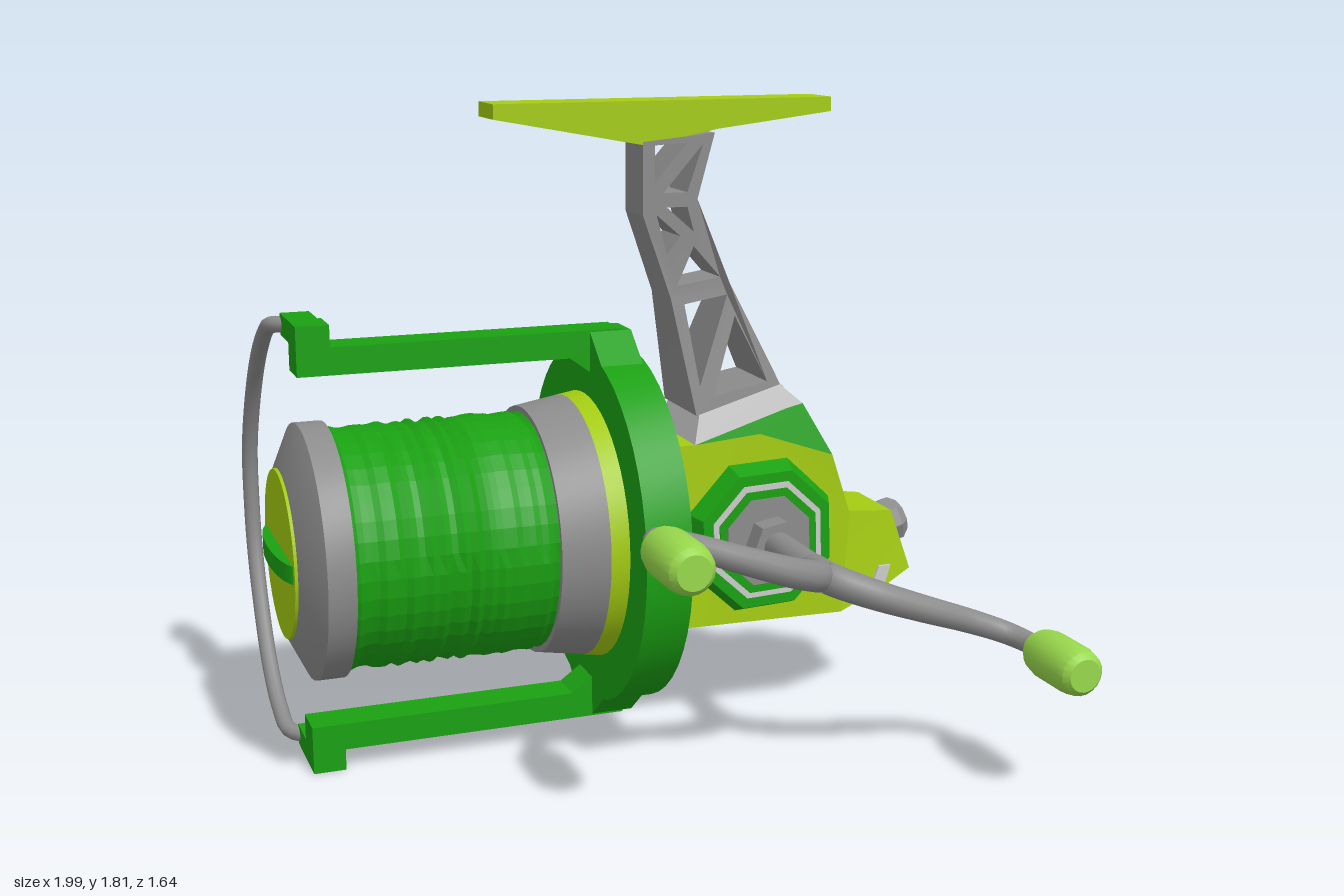
import * as THREE from 'three';
import { toCreasedNormals } from 'three/addons/utils/BufferGeometryUtils.js';

const AXIS_Y = 0.625, MID_Z = -0.175;
const mat = (color, flatShading = false) => new THREE.MeshStandardMaterial({ color, flatShading });
const GREEN = mat(0x1aa012), LIME = mat(0xa4cc12), KNOB = mat(0x98d84c), GREY = mat(0x8c8c8c), LIGHT = mat(0xcccccc);

export function createModel() {
  const model = new THREE.Group();
  const add = (name, geo, material, parent = model) => {
    const mesh = new THREE.Mesh(geo, material);
    mesh.name = name;
    parent.add(mesh);
    return mesh;
  };
  const crease = (geo, angle = 0.6) => toCreasedNormals(geo, angle);
  // Turned part along x from [x, radius] pairs
  const turned = (pts, seg = 48) => crease(
    new THREE.LatheGeometry(pts.map(([x, r]) => new THREE.Vector2(r, x)), seg).rotateZ(-Math.PI / 2));
  const vec2 = (pts) => pts.map(([x, y]) => new THREE.Vector2(x, y));
  // Side outline given thickness by a half-width rule
  const slab = (pts, halfWidth, holes = []) => {
    const shape = new THREE.Shape(vec2(pts));
    shape.holes = holes.map((h) => new THREE.Path(vec2(h)));
    const geo = new THREE.ExtrudeGeometry(shape, { depth: 2, bevelEnabled: false }).translate(0, 0, -1);
    const p = geo.attributes.position;
    for (let i = 0; i < p.count; i++) p.setZ(i, MID_Z + p.getZ(i) * halfWidth(p.getX(i), p.getY(i)));
    geo.computeVertexNormals();
    return crease(geo, 0.3);
  };
  const box = (x0, x1, y0, y1, z0, z1) => new THREE.BoxGeometry(x1 - x0, y1 - y0, z1 - z0)
    .translate((x0 + x1) / 2, (y0 + y1) / 2, (z0 + z1) / 2);

  // Rotating head: everything here is centred on the spool axis
  const head = new THREE.Group();
  head.name = 'spoolAndRotor';
  head.position.set(0, AXIS_Y, MID_Z);
  model.add(head);
  add('spoolFlange', turned([[-0.96, 0], [-0.96, 0.235], [-0.905, 0.35], [-0.83, 0.35], [-0.83, 0]]), GREY, head);
  add('dragKnob', turned([[-0.968, 0], [-0.968, 0.23], [-0.95, 0.235]]), LIME, head);
  add('dragKnobRidge', new THREE.CylinderGeometry(0.215, 0.215, 0.05, 32).scale(0.2, 1, 1).translate(-0.957, 0, 0), GREEN, head);
  add('spoolSkirt', turned([[-0.28, 0], [-0.28, 0.348], [-0.15, 0.37], [-0.15, 0]]), GREY, head);
  add('spoolBand', turned([[-0.15, 0], [-0.15, 0.37], [-0.09, 0.38]]), LIME, head);

  // Wound line: uneven coils, with steps where strands end
  const line = new THREE.CylinderGeometry(0.33, 0.33, 0.56, 40, 32, true);
  const lp = line.attributes.position;
  const hash = (a, b) => { const s = Math.sin(a * 127.1 + b * 311.7) * 43758.5453; return s - Math.floor(s); };
  for (let i = 0; i < lp.count; i++) {
    const row = Math.floor(i / 41), col = (i % 41) % 40;
    const k = 0.978 + 0.035 * hash(row, 1) + 0.018 * hash(row, 2 + Math.floor(col / 8));
    lp.setXYZ(i, lp.getX(i) * k, lp.getY(i), lp.getZ(i) * k);
  }
  add('woundLine', line.rotateZ(-Math.PI / 2).translate(-0.555, 0, 0), mat(0x1aa012, true), head);

  // Rotor cup with a recessed back
  add('rotor', turned([[-0.1, 0], [-0.1, 0.505], [0.03, 0.505], [0.03, 0.455], [-0.025, 0.455], [-0.025, 0]]), GREEN, head);
  add('rotorBackRing', turned([[-0.02, 0.455], [-0.02, 0.375], [-0.03, 0.375]]), LIME, head);

  // Mirrored rotor arms
  for (const s of [1, -1]) {
    const arm = new THREE.Group();
    arm.name = s > 0 ? 'upperArm' : 'lowerArm';
    arm.scale.y = s;
    head.add(arm);
    const bar = new THREE.Shape(vec2([[-0.85, 0.49], [-0.16, 0.49], [-0.09, 0.44], [0.03, 0.44], [0.03, 0.52], [-0.01, 0.565], [-0.85, 0.565]]));
    add('armBar', new THREE.ExtrudeGeometry(bar, { depth: 0.11, bevelEnabled: false }).translate(0, 0, -0.055), GREEN, arm);
    const web = new THREE.Shape(vec2([[-0.2, 0.44], [0.2, 0.44], [0.055, 0.56], [-0.055, 0.56]]));
    add('armWeb', new THREE.ExtrudeGeometry(web, { depth: 0.12, bevelEnabled: false })
      .rotateY(Math.PI / 2).translate(-0.1, 0, 0), GREEN, arm);
    add('armTip', box(-0.91, -0.82, 0.49, 0.625, -0.055, 0.055), GREEN, arm);
    add('bailMount', box(-0.91, -0.83, 0.565, 0.625, -0.175, -0.05), GREEN, arm);
  }

  // Bail wire
  const bail = new THREE.CatmullRomCurve3([
    [-0.88, 0.595, -0.15], [-0.925, 0.59, -0.2], [-0.93, 0.56, -0.29], [-0.935, 0.47, -0.41], [-0.94, 0.32, -0.53],
    [-0.945, 0.15, -0.605], [-0.945, 0, -0.622], [-0.945, -0.15, -0.605], [-0.945, -0.32, -0.53],
    [-0.945, -0.47, -0.41], [-0.94, -0.56, -0.29], [-0.93, -0.59, -0.2], [-0.88, -0.595, -0.15],
  ].map((p) => new THREE.Vector3(...p)));
  add('bailWire', new THREE.TubeGeometry(bail, 64, 0.023, 10), GREY, head);

  // Gear housing
  const bodyWidth = (x, y) => 0.155 - Math.max(0, y - 0.8) * 0.25 - Math.max(0, x - 0.66) * 0.15;
  add('housing', slab([[-0.03, 0.33], [0.64, 0.32], [0.66, 0.62], [0.6, 0.8], [0.38, 0.875], [0.18, 0.86], [-0.03, 0.86]], bodyWidth), LIME);
  add('housingShoulder', slab([[0.18, 0.86], [0.38, 0.875], [0.6, 0.8], [0.52, 0.95], [0.47, 0.94]], bodyWidth), GREEN);
  add('housingTop', slab([[0.18, 0.86], [0.47, 0.94], [0.52, 0.95], [0.45, 1.01], [0.2, 0.94]], bodyWidth), LIGHT);
  add('housingSpine', slab([[0.44, 1.0], [0.49, 0.99], [0.62, 0.82], [0.685, 0.62], [0.64, 0.62], [0.57, 0.8]], () => 0.04), LIGHT);
  const tailWidth = (x, y) => 0.155 - Math.max(0, x - 0.66) * 0.15 - Math.max(0, y - 0.45) * 0.15;
  const tail = [[0.64, 0.32], [0.8, 0.38], [0.88, 0.42], [0.82, 0.6], [0.65, 0.62]];
  add('housingTail', slab(tail, tailWidth), LIME);
  add('tailTrim', slab([[0.73, 0.355], [0.79, 0.378], [0.81, 0.44], [0.77, 0.44]], (x, y) => tailWidth(x, y) + 0.003), LIGHT);

  // Screw cap on the tail, tilted with its face
  const cap = new THREE.Group();
  cap.name = 'tailCap';
  cap.position.set(0.85, 0.53, MID_Z);
  cap.rotation.z = 0.3;
  model.add(cap);
  add('capNut', turned([[-0.02, 0], [-0.02, 0.07], [0.035, 0.07], [0.06, 0.05], [0.06, 0]], 8), GREY, cap);
  add('capCentre', turned([[0.05, 0.025], [0.066, 0.025], [0.066, 0]], 12), GREEN, cap);

  // Lattice stem and mounting foot
  add('stem', slab(
    [[0.19, 0.94], [0.45, 1.01], [0.31, 1.3], [0.21, 1.54], [0.26, 1.72], [0.05, 1.7], [0.05, 1.5], [0.13, 1.27]],
    (x, y) => 0.07 + Math.max(0, 1.3 - y) * 0.15,
    [
      [[0.085, 1.69], [0.18, 1.695], [0.085, 1.59]],
      [[0.225, 1.69], [0.18, 1.56], [0.11, 1.56]],
      [[0.09, 1.5], [0.16, 1.44], [0.12, 1.39]],
      [[0.12, 1.52], [0.18, 1.52], [0.2, 1.45]],
      [[0.15, 1.3], [0.28, 1.32], [0.2, 1.41]],
      [[0.17, 1.25], [0.3, 1.27], [0.205, 1.02]],
      [[0.32, 1.21], [0.41, 1.02], [0.245, 0.99]],
    ]), GREY);
  add('mountingFoot', slab([[-0.37, 1.77], [0.06, 1.69], [0.27, 1.73], [0.61, 1.77], [0.61, 1.81], [-0.37, 1.81]], () => 0.07), LIME);

  // Crank, built along its own x and tilted
  const crank = new THREE.Group();
  crank.name = 'crank';
  crank.position.set(0.38, 0.58, 0);
  crank.rotation.z = -0.351;
  model.add(crank);
  const disc = (name, r0, r1, z0, z1, seg, material) => add(name,
    crease(new THREE.CylinderGeometry(r1, r0, z1 - z0, seg).rotateX(Math.PI / 2).translate(0, 0, (z0 + z1) / 2)), material, crank);
  disc('sidePlate', 0.235, 0.21, -0.03, 0.025, 8, GREEN);
  disc('sidePlateRing', 0.178, 0.178, 0.02, 0.029, 8, LIGHT);
  disc('sidePlateInnerRing', 0.16, 0.16, 0.02, 0.033, 8, GREEN);
  disc('sidePlateCentre', 0.135, 0.135, 0.02, 0.037, 8, GREY);
  disc('crankNut', 0.075, 0.075, 0.03, 0.1, 6, GREY);
  disc('crankShaft', 0.043, 0.043, 0.09, 0.4, 16, GREY);

  for (const s of [1, -1]) {
    // Tapered, bent arm
    const path = new THREE.CatmullRomCurve3([[0, 0.33], [0.025, 0.4], [0.12, 0.45], [0.28, 0.465], [0.44, 0.462], [0.54, 0.49], [0.578, 0.55], [0.58, 0.62]]
      .map(([x, z]) => new THREE.Vector3(s * x, 0, z)));
    const n = 40, geo = new THREE.TubeGeometry(path, n, 1, 12), p = geo.attributes.position, v = new THREE.Vector3();
    for (let i = 0; i < p.count; i++) {
      const t = Math.floor(i / 13) / n, c = path.getPointAt(t);
      v.fromBufferAttribute(p, i).sub(c).multiplyScalar(0.046 - 0.018 * t).add(c);
      p.setXYZ(i, v.x, v.y, v.z);
    }
    add('crankArm', geo, GREY, crank);
    // Grip
    const grip = [[0, 0.59], [0.045, 0.59], [0.048, 0.61], [0.06, 0.615], [0.067, 0.65], [0.067, 0.77], [0.06, 0.805], [0.045, 0.82], [0, 0.82]];
    add('crankGrip', crease(new THREE.LatheGeometry(vec2(grip), 20).rotateX(Math.PI / 2)).translate(s * 0.58, 0, 0), KNOB, crank);
  }
  return model;
}
